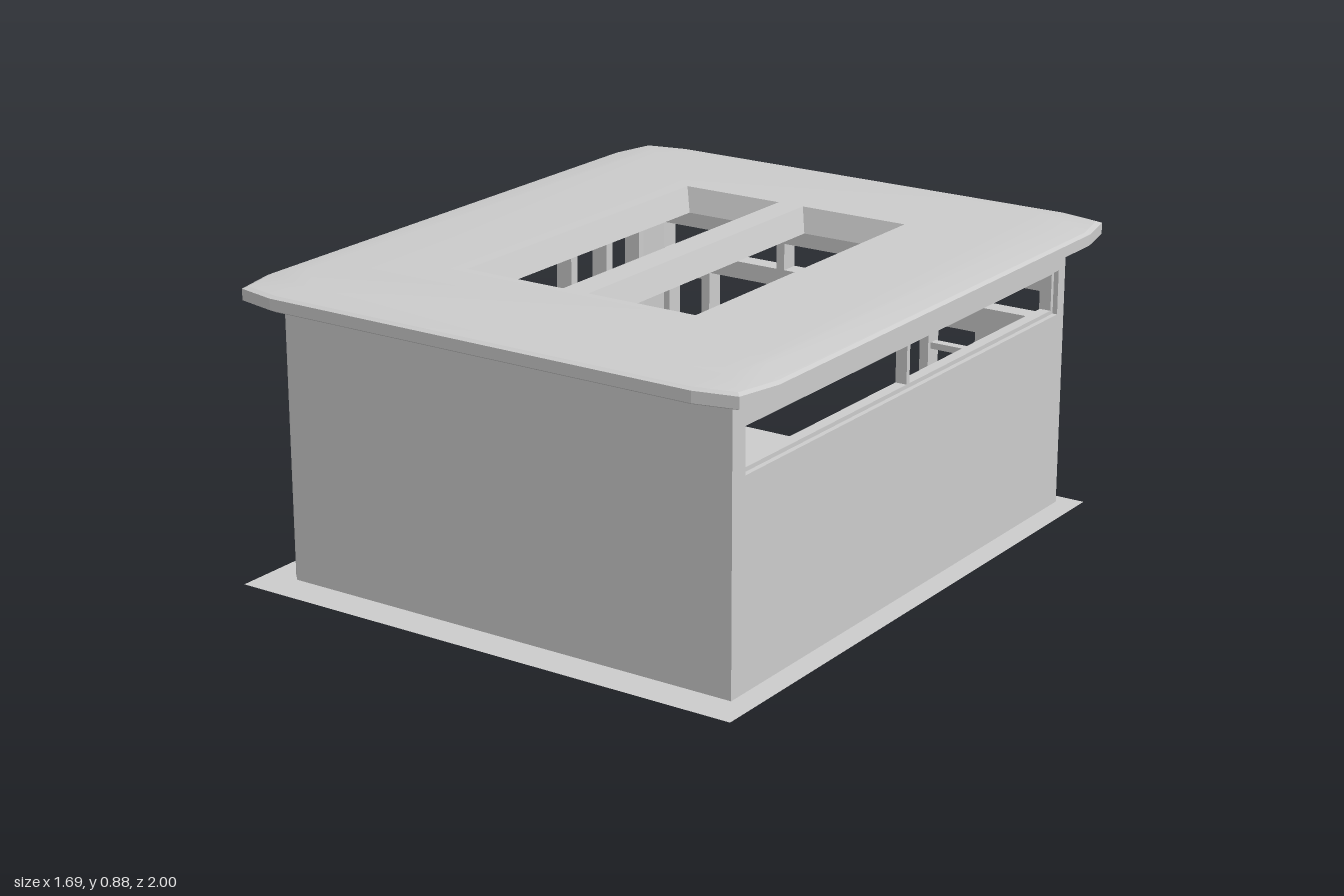
import * as THREE from 'three';
import { mergeGeometries, toCreasedNormals } from 'three/addons/utils/BufferGeometryUtils.js';

const grey = new THREE.MeshStandardMaterial({ color: 0xcccccc });
const TOP = 0.81;

export function createModel() {
  const model = new THREE.Group();
  model.name = 'pavilion';

  const add = (name, geometry, parent = model, material = grey) => {
    const mesh = new THREE.Mesh(geometry, material);
    mesh.name = name;
    parent.add(mesh);
    return mesh;
  };
  const group = (name) => {
    const g = new THREE.Group();
    g.name = name;
    model.add(g);
    return g;
  };
  // Box given by its extents on each axis
  const box = (name, [x0, x1], [y0, y1], [z0, z1], parent) => {
    const g = new THREE.BoxGeometry(x1 - x0, y1 - y0, z1 - z0);
    g.translate((x0 + x1) / 2, (y0 + y1) / 2, (z0 + z1) / 2);
    return add(name, g, parent);
  };
  const planShape = (pts) => new THREE.Shape(pts.map(([x, z]) => new THREE.Vector2(x, -z)));
  // Upright prism from an x/z plan
  const prism = (name, pts, y0, y1) => {
    const g = new THREE.ExtrudeGeometry(planShape(pts), { depth: y1 - y0, bevelEnabled: false });
    g.rotateX(-Math.PI / 2).translate(0, y0, 0);
    return add(name, g);
  };

  // Floor sheet
  const floor = new THREE.PlaneGeometry(1.64, 1.92).rotateX(-Math.PI / 2).translate(0, 0, 0.04);
  add('floor', floor, model, new THREE.MeshStandardMaterial({ color: 0xcccccc, side: THREE.DoubleSide }));

  // Front wall with its return, and the two chamfered back corners
  prism('frontWall', [[0.75, 0.89], [-0.72, 0.89], [-0.75, 0.86], [-0.75, 0.72],
    [-0.69, 0.72], [-0.69, 0.83], [0.75, 0.83]], 0, TOP);
  prism('backLeftPost', [[0.75, -0.835], [0.75, -0.875], [0.72, -0.905], [0.69, -0.905], [0.69, -0.835]], 0, TOP);
  prism('backRightPost', [[-0.72, -0.905], [-0.75, -0.875], [-0.75, -0.77],
    [-0.69, -0.77], [-0.66, -0.84], [-0.66, -0.905]], 0, TOP);

  // Left wall with a long high window
  const left = group('leftWall');
  const wx = [0.69, 0.75];
  box('lowerWall', wx, [0, 0.6], [-0.835, 0.83], left);
  box('upperWall', wx, [0.735, TOP], [-0.835, 0.83], left);
  const fx = [0.7, 0.735];
  box('windowSill', fx, [0.6, 0.612], [-0.835, 0.83], left);
  box('windowHead', fx, [0.723, 0.735], [-0.835, 0.83], left);
  for (const z of [-0.829, 0, 0.824]) {
    box('windowMullion', fx, [0.6, 0.735], [z - 0.008, z + 0.008], left);
  }

  // Right side: glazing frame
  const right = group('rightFrame');
  const rx = [-0.745, -0.69];
  box('bottomRail', rx, [0, 0.04], [-0.78, 0.73], right);
  box('topRail', rx, [0.765, TOP], [-0.78, 0.73], right);
  box('transom', rx, [0.4, 0.435], [-0.78, 0.37], right);
  for (const z of [-0.76, 0, 0.37, 0.715]) {
    box('mullion', rx, [0.02, 0.79], [z - 0.016, z + 0.016], right);
  }
  for (const z of [-0.585, -0.4]) {
    box('upperMullion', rx, [0.42, 0.79], [z - 0.016, z + 0.016], right);
  }
  for (const z of [0.13, 0.25]) {
    box('lowerMullion', rx, [0.02, 0.42], [z - 0.014, z + 0.014], right);
  }

  // Back side: panel, rails above the doorway, sidelights
  const back = group('backFrame');
  const bz = [-0.9, -0.84];
  box('backPanel', [0.5, 0.7], [0, 0.55], bz, back);
  box('doorHead', [-0.68, 0.7], [0.52, 0.575], bz, back);
  box('middleRail', [-0.68, 0.7], [0.66, 0.705], bz, back);
  box('topRail', [-0.68, 0.7], [0.77, TOP], bz, back);
  for (const x of [0.24, -0.22]) {
    box('clerestoryMullion', [x - 0.014, x + 0.014], [0.56, 0.68], bz, back);
  }
  const sidelight = (x0, x1, barY) => {
    box('sidelightStile', [x0, x0 + 0.03], [0, 0.53], bz, back);
    box('sidelightStile', [x1 - 0.03, x1], [0, 0.53], bz, back);
    box('sidelightSill', [x0, x1], [0, 0.045], bz, back);
    box('sidelightHead', [x0, x1], [0.495, 0.53], bz, back);
    box('sidelightBar', [x0, x1], [barY, barY + 0.02], [-0.885, -0.855], back);
  };
  sidelight(0.285, 0.505, 0.41);
  sidelight(-0.67, -0.486, 0.15);

  // Roof slab: softly bevelled outline with two tapered skylight wells
  const quarter = [[0.845, 0.83], [0.815, 0.965], [0.69, 0.993]];
  const flip = (pts, sx, sz) => pts.map(([x, z]) => [x * sx, z * sz]);
  // Runs anticlockwise seen from above
  const outline = [
    ...flip(quarter, 1, -1), ...flip([...quarter].reverse(), -1, -1),
    ...flip(quarter, -1, 1), ...flip([...quarter].reverse(), 1, 1),
  ];
  const ring = (sx, sz) => outline.map(([x, z]) => [x * sx, z * sz - 0.007]);
  const rect = (x0, x1, z0, z1) => [[x0, z1], [x1, z1], [x1, z0], [x0, z0]];
  const loft = (a, ya, b, yb) => {
    const pos = [];
    a.forEach((p, i) => {
      const j = (i + 1) % a.length;
      const q = [[p[0], ya, p[1]], [a[j][0], ya, a[j][1]], [b[j][0], yb, b[j][1]], [b[i][0], yb, b[i][1]]];
      for (const k of [0, 1, 2, 0, 2, 3]) pos.push(...q[k]);
    });
    const g = new THREE.BufferGeometry();
    g.setAttribute('position', new THREE.Float32BufferAttribute(pos, 3));
    return g;
  };
  const cap = (pts, holes, y, up) => {
    const shape = planShape(pts);
    shape.holes = holes.map((h) => new THREE.Path(h.map(([x, z]) => new THREE.Vector2(x, -z))));
    let g = new THREE.ShapeGeometry(shape);
    if (!up) {
      const idx = g.index.array;
      for (let i = 0; i < idx.length; i += 3) [idx[i], idx[i + 1]] = [idx[i + 1], idx[i]];
    }
    g = g.toNonIndexed().rotateX(-Math.PI / 2).translate(0, y, 0);
    g.deleteAttribute('uv');
    g.deleteAttribute('normal');
    return g;
  };
  const wellsTop = [rect(-0.385, -0.055, -0.57, 0.51), rect(0.03, 0.38, -0.57, 0.51)];
  const wellsBottom = [rect(-0.36, -0.078, -0.545, 0.483), rect(0.052, 0.358, -0.545, 0.483)];
  const levels = [[0.89, 0.91, 0.803], [0.985, 0.987, 0.818], [1, 1, 0.825],
    [1, 1, 0.858], [0.985, 0.987, 0.864], [0.89, 0.91, 0.877]];
  const parts = [
    cap(ring(0.89, 0.91), wellsBottom, 0.803, false),
    cap(ring(0.89, 0.91), wellsTop, 0.877, true),
    ...wellsTop.map((w, i) => loft(w, 0.877, wellsBottom[i], 0.803)),
  ];
  for (let i = 1; i < levels.length; i++) {
    const [a, b] = [levels[i - 1], levels[i]];
    parts.push(loft(ring(a[0], a[1]), a[2], ring(b[0], b[1]), b[2]));
  }
  add('roof', toCreasedNormals(mergeGeometries(parts), 0.21));

  return model;
}
